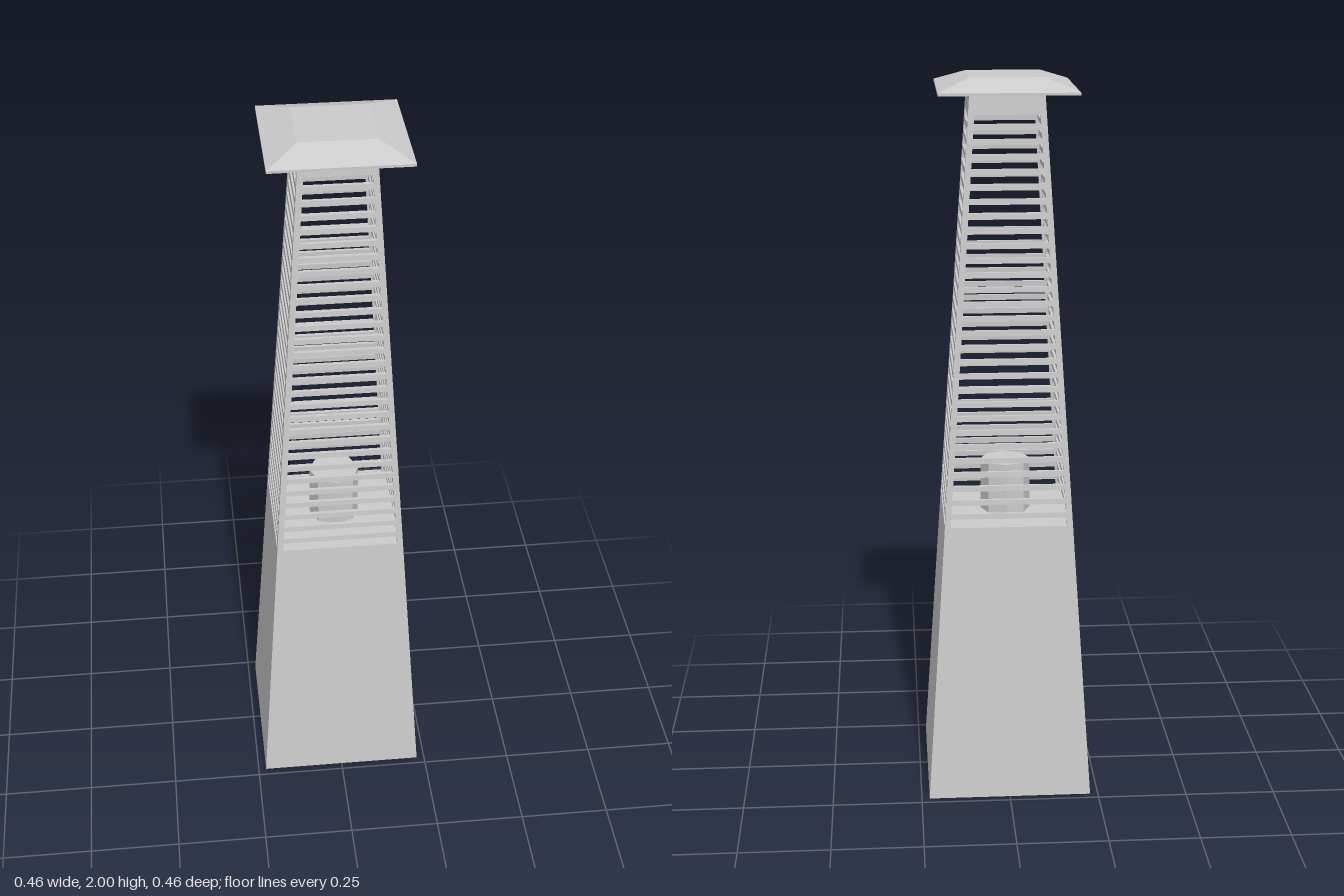
import * as THREE from 'three';

const DECK = 0.79, COLLAR_TOP = 1.966;
const SLOTS = 29, PITCH = 0.0389, SLOT_H = 0.024, POST = 0.0165, SHEET = 0.01;

// Half width of the tapering tower at height y
const half = (y) => 0.228 - 0.0655 * y;

const material = new THREE.MeshStandardMaterial({ color: 0xcccccc, flatShading: true });

function add(parent, name, geometry) {
  const mesh = new THREE.Mesh(geometry, material);
  mesh.name = name;
  parent.add(mesh);
  return mesh;
}

// Square frustum between two heights, given as half widths
function frustum(y0, y1, h0, h1) {
  const g = new THREE.CylinderGeometry(h1 * Math.SQRT2, h0 * Math.SQRT2, y1 - y0, 4);
  g.rotateY(Math.PI / 4);
  g.translate(0, (y0 + y1) / 2, 0);
  return g;
}

// Closed trapezoid outline following the taper, inset from the tower's edge
function outline(target, y0, y1, inset) {
  target.moveTo(-half(y0) + inset, y0);
  target.lineTo(half(y0) - inset, y0);
  target.lineTo(half(y1) - inset, y1);
  target.lineTo(-half(y1) + inset, y1);
  target.closePath();
  return target;
}

// Slotted sheet, leaned to the taper and mitred at the corners
function grillePanel() {
  const shape = outline(new THREE.Shape(), DECK, COLLAR_TOP, 0);
  for (let i = 0; i < SLOTS; i++) {
    const y = DECK + 0.001 + i * PITCH;
    shape.holes.push(outline(new THREE.Path(), y, y + SLOT_H, POST));
  }
  const g = new THREE.ExtrudeGeometry(shape, { depth: SHEET, bevelEnabled: false });
  const p = g.attributes.position;
  for (let i = 0; i < p.count; i++) {
    const z = half(p.getY(i)) - SHEET + p.getZ(i);
    p.setXYZ(i, THREE.MathUtils.clamp(p.getX(i), -z, z), p.getY(i), z);
  }
  g.computeVertexNormals();
  return g;
}

export function createModel() {
  const model = new THREE.Group();
  model.name = 'pyramidHeater';

  // Solid lower cabinet
  add(model, 'base', frustum(0, DECK, half(0), half(DECK)));

  // Four slotted sides
  const grille = new THREE.Group();
  grille.name = 'grille';
  model.add(grille);
  const panel = grillePanel();
  ['front', 'left', 'back', 'right'].forEach((side, i) => {
    add(grille, side + 'Panel', panel).rotation.y = i * Math.PI / 2;
  });

  // Burner standing on the cabinet
  const burner = new THREE.CylinderGeometry(0.069, 0.069, 0.145, 8);
  add(model, 'burner', burner).position.y = DECK + 0.0725;

  // Overhanging roof: thin rim and sloping top
  const roof = new THREE.Group();
  roof.name = 'roof';
  model.add(roof);
  add(roof, 'roofRim', frustum(1.962, 1.969, 0.184, 0.184));
  add(roof, 'roofTop', frustum(1.969, 2, 0.184, 0.1));

  return model;
}
